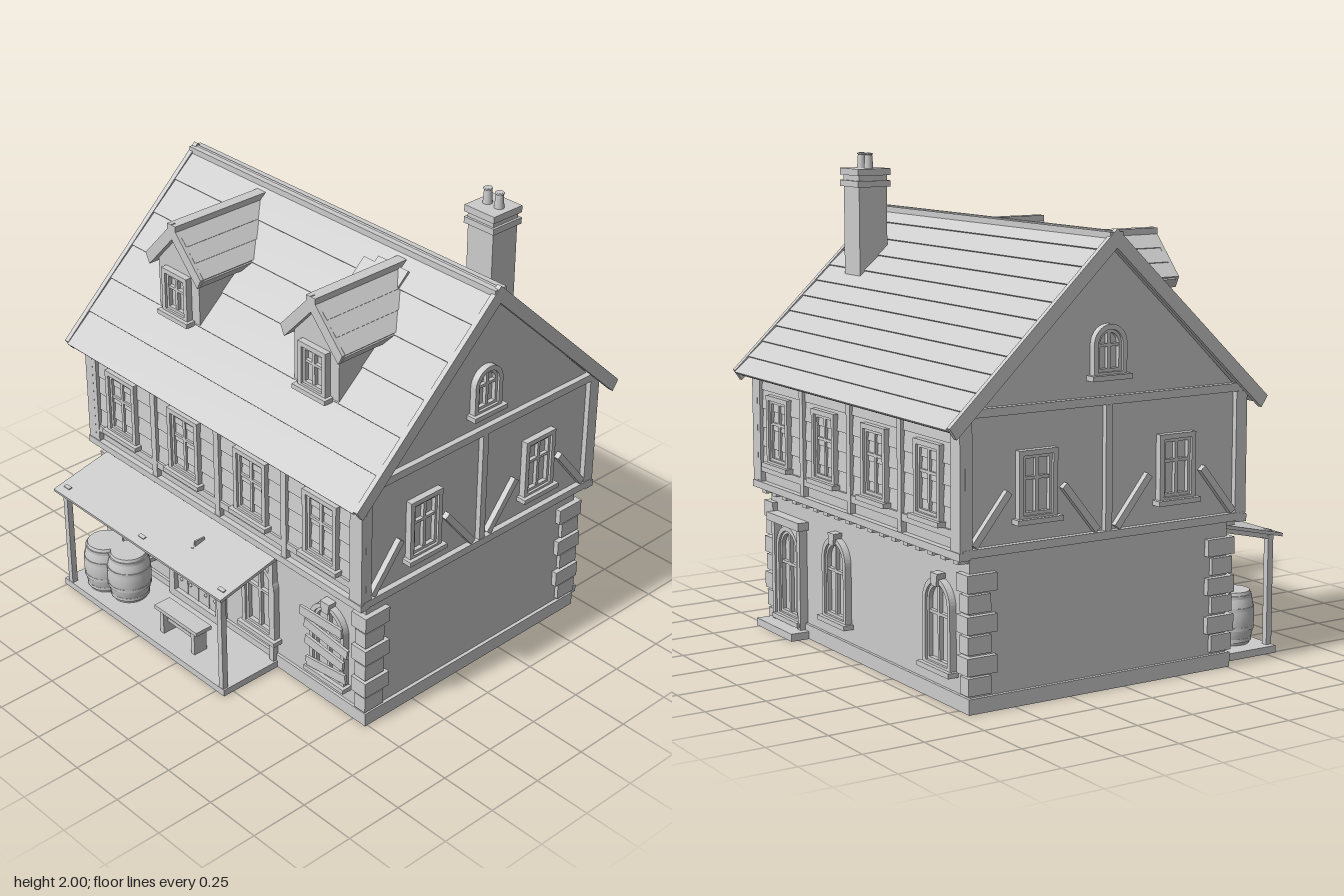
import * as THREE from 'three';

const mat = new THREE.MeshStandardMaterial({ color: 0xcccccc });
mat.name = 'light gray';
const ZC = -0.095;                       // ridge line, middle of the house in z
const SLOPE = 0.94, PITCH = Math.atan(SLOPE);
const roofY = z => 1.768 - SLOPE * Math.abs(z - ZC);

function add(parent, name, geo, x = 0, y = 0, z = 0) {
  const m = new THREE.Mesh(geo, mat);
  m.name = name;
  m.position.set(x, y, z);
  parent.add(m);
  return m;
}
const box = (p, name, w, h, d, x, y, z) => add(p, name, new THREE.BoxGeometry(w, h, d), x, y, z);
const poly = pts => new THREE.Shape(pts.map(([x, y]) => new THREE.Vector2(x, y)));
const extrude = (shape, depth) =>
  new THREE.ExtrudeGeometry(shape, { depth, bevelEnabled: false, curveSegments: 12 });
// Profile given in (z, y), swept along x and centred
const sweepX = (pts, width) => extrude(poly(pts), width).rotateY(-Math.PI / 2).translate(width / 2, 0, 0);
function group(parent, name, x = 0, y = 0, z = 0, ry = 0) {
  const g = new THREE.Group();
  g.name = name;
  g.position.set(x, y, z);
  g.rotation.y = ry;
  parent.add(g);
  return g;
}
function outline(C, w, h, arched, y = 0) {
  const s = new C(), r = w / 2;
  s.moveTo(-r, y);
  s.lineTo(r, y);
  if (arched) s.absarc(0, y + h - r, r, 0, Math.PI, false);
  else { s.lineTo(r, y + h); s.lineTo(-r, y + h); }
  s.lineTo(-r, y);
  return s;
}
function frame(w, h, t, depth, arched) {
  const s = outline(THREE.Shape, w, h, arched);
  s.holes.push(outline(THREE.Path, w - 2 * t, h - 2 * t, arched, t));
  return extrude(s, depth);
}

// Window facing +z with its base at the group origin
function windowUnit(parent, x, y, z, ry, w, h, arched = false, keystone = false) {
  const g = group(parent, 'window', x, y, z, ry), t = 0.02;
  add(g, 'windowFrame', frame(w, h, t, 0.028, arched));
  add(g, 'windowSash', frame(w - 2 * t, h - 2 * t, 0.012, 0.018, arched), 0, t, 0);
  box(g, 'mullion', 0.014, h - 2 * t, 0.016, 0, h / 2, 0.008);
  box(g, 'transom', w - 2 * t, 0.012, 0.016, 0, h * 0.6, 0.008);
  box(g, 'sill', w + 0.03, 0.02, 0.045, 0, 0, 0.0225);
  if (keystone) {
    const k = poly([[-0.018, h - 0.03], [0.018, h - 0.03], [0.026, h + 0.02], [-0.026, h + 0.02]]);
    add(g, 'keystone', extrude(k, 0.038));
  }
  return g;
}

function barrel(parent, x, z) {
  const g = group(parent, 'barrel', x, 0.03, z);
  const prof = [[0, 0], [0.075, 0], [0.089, 0.05], [0.095, 0.11], [0.089, 0.17], [0.075, 0.22], [0.068, 0.22], [0.066, 0.21], [0, 0.21]];
  const pts = new THREE.SplineCurve(prof.slice(1, 6).map(p => new THREE.Vector2(...p))).getPoints(10);
  add(g, 'barrelStaves', new THREE.LatheGeometry(pts, 24));
  add(g, 'barrelLid', new THREE.CylinderGeometry(0.075, 0.075, 0.004, 24), 0, 0.218, 0);
  for (const [y, r] of [[0.02, 0.084], [0.07, 0.094], [0.15, 0.094], [0.2, 0.084]])
    add(g, 'barrelHoop', new THREE.CylinderGeometry(r, r, 0.014, 24), 0, y, 0);
}

function dormer(parent, x) {
  const g = group(parent, 'dormer', x);
  const wall = poly([[-0.125, 1.3], [0.125, 1.3], [0.125, 1.55], [0, 1.69], [-0.125, 1.55]]);
  add(g, 'dormerWall', extrude(wall, 0.42), 0, 0, -0.03);
  const chevron = (o, d) => poly([[0, 1.725 + o], [0.172, 1.54 + o], [0.15, 1.498], [0, 1.66], [-0.15, 1.498], [-0.172, 1.54 + o]]);
  add(g, 'dormerRoof', extrude(chevron(-0.008), 0.455), 0, 0, -0.05);
  add(g, 'dormerBargeboard', extrude(chevron(0.002), 0.02), 0, 0, 0.4);
  box(g, 'dormerRidge', 0.05, 0.025, 0.49, 0, 1.712, 0.175);
  for (const s of [-1, 1]) for (let i = 0; i < 3; i++) {
    const px = 0.045 + i * 0.05;
    const b = box(g, 'dormerPlank', 0.075, 0.008, 0.43, s * px, 1.722 - px * 1.075, 0.19);
    b.rotation.z = -s * 0.77;
  }
  windowUnit(g, 0, 1.31, 0.39, 0, 0.155, 0.2);
}

export function createModel() {
  const house = new THREE.Group();
  house.name = 'house';

  // Ground floor, plinth and corner stones
  box(house, 'groundFloorWall', 1.61, 0.6, 1.19, 0, 0.3, ZC);
  box(house, 'plinth', 1.64, 0.06, 1.215, 0, 0.03, ZC);
  for (const sx of [-1, 1]) for (const sz of [-1, 1]) for (let i = 0; i < 6; i++) {
    const long = i % 2, w = long ? 0.08 : 0.06, d = long ? 0.13 : 0.1, o = long ? 0.006 : 0;
    box(house, 'cornerStone', w, 0.068, d, sx * (0.822 + o - w / 2), 0.105 + i * 0.078, ZC + sz * (0.612 + o - d / 2));
  }

  // Upper storey with gables
  add(house, 'upperWall', sweepX([[ZC - 0.635, 0.59], [ZC + 0.635, 0.59], [ZC + 0.635, 1.11], [ZC, 1.72], [ZC - 0.635, 1.11]], 1.64));
  for (const sx of [-1, 1]) for (const sz of [-1, 1])
    box(house, 'cornerPost', 0.045, 0.52, 0.045, sx * 0.82, 0.85, ZC + sz * 0.635);

  // Long upper walls: beams, posts, siding, windows, joist ends
  for (const s of [1, -1]) {
    const wall = group(house, 'timberWall', 0, 0, ZC + s * 0.635, s > 0 ? 0 : Math.PI);
    box(wall, 'sillBeam', 1.69, 0.03, 0.04, 0, 0.605, 0.006);
    box(wall, 'railBeam', 1.6, 0.03, 0.03, 0, 0.68, 0.005);
    box(wall, 'topBeam', 1.64, 0.04, 0.03, 0, 1.08, 0.005);
    for (const x of [-0.79, -0.4, 0, 0.4, 0.79]) box(wall, 'wallPost', 0.03, 0.48, 0.034, x, 0.85, 0.005);
    for (let i = 0; i < 5; i++) {
      const b = box(wall, 'sidingBoard', 1.6, 0.085, 0.008, 0, 0.735 + i * 0.08, 0.003);
      b.rotation.x = -0.08;
    }
    for (const x of [-0.61, -0.205, 0.205, 0.61]) windowUnit(wall, x, 0.705, 0, 0, 0.19, 0.295);
    for (let i = 0; i < 18; i++) box(wall, 'joistEnd', 0.035, 0.025, 0.05, -0.78 + i * 0.0918, 0.58, -0.02);
  }

  // Gable walls: beams, braces, windows
  for (const s of [1, -1]) {
    const wall = group(house, 'gableWall', s * 0.82, 0, ZC, s * Math.PI / 2);
    for (const y of [0.612, 1.127]) box(wall, 'gableBeam', 1.29, 0.032, 0.04, 0, y, 0.005);
    for (const x of [-0.62, 0, 0.62]) box(wall, 'gablePost', 0.03, 0.5, 0.036, x, 0.86, 0.005);
    for (const [x, dir] of [[-0.52, -1], [-0.125, 1], [0.115, -1], [0.52, 1]]) {
      const b = box(wall, 'brace', 0.028, 0.24, 0.036, x, 0.73, 0.006);
      b.rotation.z = dir * 0.68;
    }
    for (const x of [-0.32, 0.32]) windowUnit(wall, x, 0.708, 0, 0, 0.17, 0.265);
    windowUnit(wall, 0, 1.215, 0, 0, 0.15, 0.2, true);
  }

  // Main roof: slab, bargeboards, ridge cap and overlapping courses
  const chevron = (lift, half, t) => [[ZC, 1.768 + lift], [ZC + half, 1.768 + lift - SLOPE * half],
    [ZC + half - 0.03, 1.768 - t - SLOPE * (half - 0.03)], [ZC, 1.768 - t],
    [ZC - half + 0.03, 1.768 - t - SLOPE * (half - 0.03)], [ZC - half, 1.768 + lift - SLOPE * half]];
  add(house, 'roofSlab', sweepX(chevron(-0.014, 0.72, 0.055), 1.73));
  for (const s of [-1, 1]) add(house, 'bargeboard', sweepX(chevron(0.004, 0.725, 0.068), 0.022), s * 0.874, 0, 0);
  box(house, 'ridgeCap', 1.764, 0.04, 0.06, 0, 1.74, ZC);
  for (const [s, n] of [[1, 6], [-1, 11]]) {
    const run = 0.72 / n;
    for (let i = 0; i < n; i++) {
      const z = ZC + s * run * (i + 0.5);
      const b = box(house, 'roofCourse', 1.728, 0.01, run / Math.cos(PITCH) + 0.01, 0, roofY(z) - 0.01, z);
      b.rotation.x = s * (PITCH - 0.004 / run);
    }
  }
  // Repair boards beside the dormers
  for (const [x, w, z, l] of [[-0.53, 0.07, 0.12, 0.2], [0.28, 0.06, 0.08, 0.23], [0.34, 0.06, 0.05, 0.2], [0.45, 0.055, 0.06, 0.22]]) {
    const b = box(house, 'roofPatch', w, 0.012, l, x, roofY(z) + 0.004, z);
    b.rotation.x = PITCH;
  }
  dormer(house, -0.41);
  dormer(house, 0.405);

  // Chimney
  const chimney = group(house, 'chimney', 0.62, 0, -0.32);
  box(chimney, 'chimneyShaft', 0.132, 0.66, 0.132, 0, 1.58, 0);
  for (const [y, w, h] of [[1.873, 0.155, 0.026], [1.895, 0.135, 0.03], [1.922, 0.155, 0.028]]) box(chimney, 'chimneyCap', w, h, w, 0, y, 0);
  for (const x of [-0.03, 0.03]) {
    add(chimney, 'chimneyPot', new THREE.CylinderGeometry(0.015, 0.02, 0.07, 16, 1), x, 1.965, 0);
    add(chimney, 'potRim', new THREE.TorusGeometry(0.015, 0.004, 6, 16).rotateX(Math.PI / 2), x, 1.996, 0);
  }

  // Ground floor windows, front and back
  for (const x of [-0.61, 0.2, 0.61]) windowUnit(house, x, 0.13, 0.5, 0, 0.2, 0.35, true, true);
  for (const x of [0.2, -0.61]) windowUnit(house, x, 0.13, -0.69, Math.PI, 0.2, 0.35, true, true);
  for (const [x, y, w, tilt] of [[0.59, 0.4, 0.24, 0.03], [0.62, 0.335, 0.25, -0.12], [0.61, 0.26, 0.22, -0.1], [0.62, 0.18, 0.23, 0.12]])
    box(house, 'windowBoard', w, 0.042, 0.012, x, y, 0.537).rotation.z = tilt;

  // Front door
  const door = group(house, 'frontDoor', -0.2, 0.03, 0.5);
  add(door, 'doorSurround', frame(0.34, 0.48, 0.035, 0.035, true));
  add(door, 'doorLeaf', extrude(outline(THREE.Shape, 0.28, 0.45, true), 0.014));
  for (const x of [-0.07, 0, 0.07]) box(door, 'doorGroove', 0.006, 0.38, 0.008, x, 0.21, 0.013);
  for (const x of [-0.11, -0.05, 0.05, 0.11]) for (const y of [0.09, 0.25])
    add(door, 'doorStud', new THREE.SphereGeometry(0.008, 8, 6), x, y, 0.014);
  add(door, 'doorRing', new THREE.TorusGeometry(0.017, 0.005, 8, 16), 0.07, 0.15, 0.022);

  // Back door with lintel and step
  const back = group(house, 'backDoor', 0.61, 0.03, -0.69, Math.PI);
  windowUnit(back, 0, 0.02, 0, 0, 0.2, 0.4, true);
  for (const x of [-0.115, 0.115]) box(back, 'backDoorPost', 0.025, 0.43, 0.04, x, 0.215, 0.015);
  box(back, 'backDoorLintel', 0.29, 0.035, 0.05, 0, 0.445, 0.025);
  box(house, 'backStep', 0.32, 0.032, 0.1, 0.61, 0.016, -0.735);

  // Porch
  const porch = group(house, 'porch');
  box(porch, 'porchFloor', 1.06, 0.03, 0.32, -0.23, 0.015, 0.64);
  const tilt = Math.atan2(0.07, 0.31);
  box(porch, 'porchRoof', 1.085, 0.014, 0.33, -0.222, 0.525, 0.66).rotation.x = tilt;
  box(porch, 'porchBeam', 1.03, 0.022, 0.025, -0.22, 0.477, 0.785);
  for (const x of [-0.72, 0.28]) {
    box(porch, 'porchPost', 0.026, 0.45, 0.026, x, 0.255, 0.785);
    box(porch, 'wallPostPorch', 0.026, 0.5, 0.026, x, 0.28, 0.515);
    box(porch, 'porchRafter', 0.022, 0.022, 0.28, x, 0.508, 0.66).rotation.x = tilt;
  }
  for (const x of [-0.72, -0.22, 0.28]) box(porch, 'roofNailPlate', 0.035, 0.008, 0.016, x, 0.506, 0.78).rotation.x = tilt;
  barrel(porch, -0.61, 0.685);
  barrel(porch, -0.482, 0.66);

  // Bench
  box(porch, 'benchSeat', 0.27, 0.018, 0.08, -0.07, 0.147, 0.705);
  for (const x of [-0.17, 0.03]) box(porch, 'benchLeg', 0.022, 0.115, 0.065, x, 0.085, 0.705);
  box(porch, 'benchRail', 0.2, 0.018, 0.018, -0.07, 0.09, 0.705);

  // Hanging sign and wall lantern
  box(porch, 'signBracket', 0.01, 0.012, 0.2, 0, 0.52, 0.6);
  box(porch, 'signSpike', 0.008, 0.03, 0.05, 0, 0.535, 0.66);
  box(porch, 'signBoard', 0.014, 0.085, 0.1, 0, 0.452, 0.64);
  box(porch, 'lanternArm', 0.01, 0.01, 0.07, 0.022, 0.49, 0.535);
  add(porch, 'lantern', new THREE.CylinderGeometry(0.022, 0.016, 0.06, 6), 0.022, 0.44, 0.56);
  add(porch, 'lanternCap', new THREE.ConeGeometry(0.028, 0.022, 6), 0.022, 0.48, 0.56);
  return house;
}
